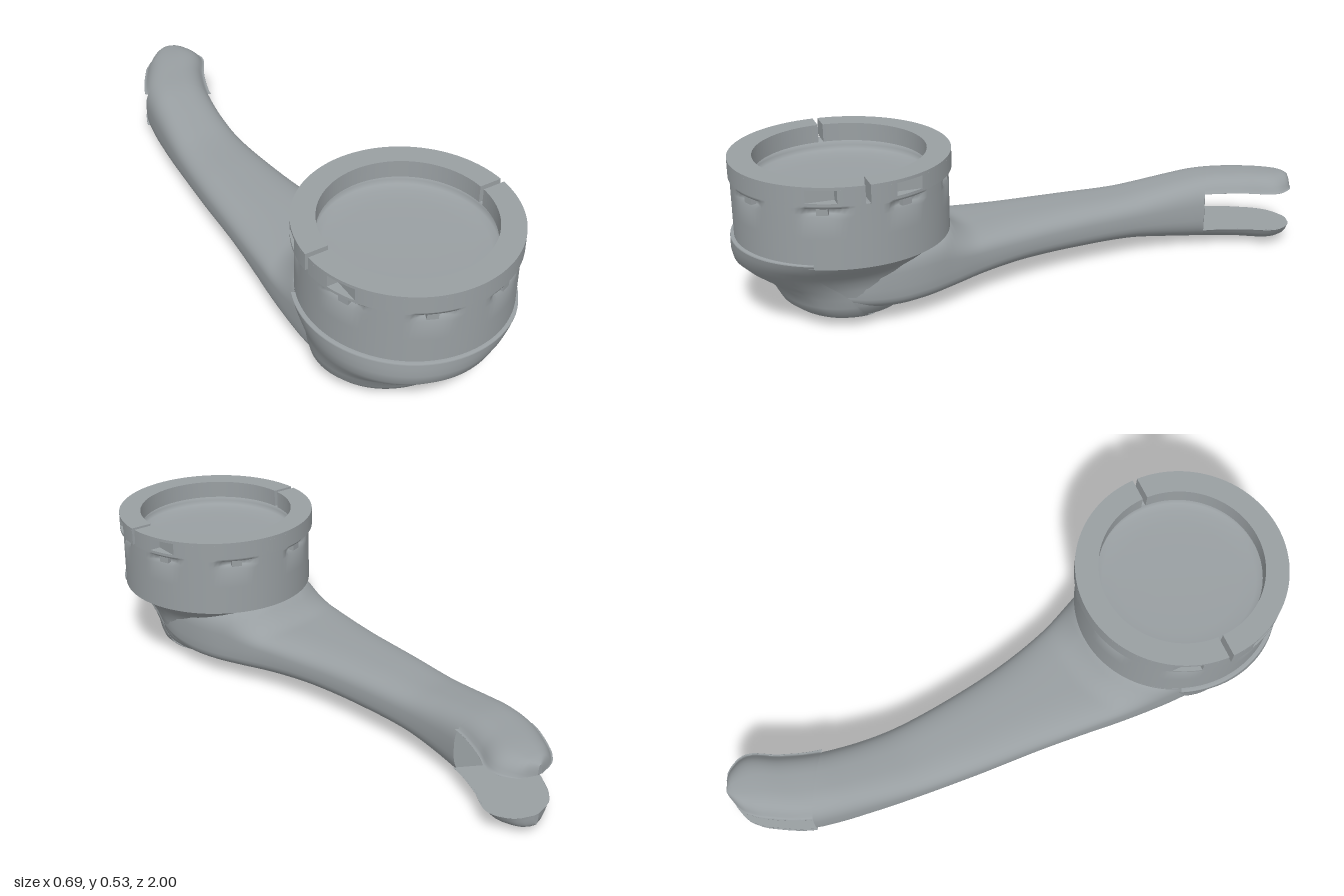
import * as THREE from 'three';

const CUP_Z = 0.642;

// Skin a list of point rows into a smooth surface; caps get their own vertices
function skin(rows, { closed = true, caps = false } = {}) {
  const n = rows[0].length, pos = [], idx = [];
  rows.forEach(r => r.forEach(p => pos.push(...p)));
  for (let i = 0; i < rows.length - 1; i++) {
    for (let j = 0; j < (closed ? n : n - 1); j++) {
      const k = (j + 1) % n;
      const a = i * n + j, b = i * n + k, c = a + n, d = b + n;
      idx.push(a, b, c, b, d, c);
    }
  }
  if (caps) {
    [rows[0], rows[rows.length - 1]].forEach((row, end) => {
      const base = pos.length / 3;
      const mid = [0, 1, 2].map(k => row.reduce((s, p) => s + p[k], 0) / n);
      row.forEach(p => pos.push(...p));
      pos.push(...mid);
      for (let j = 0; j < n; j++) {
        const k = (j + 1) % n;
        if (end) idx.push(base + j, base + k, base + n);
        else idx.push(base + k, base + j, base + n);
      }
    });
  }
  const g = new THREE.BufferGeometry();
  g.setAttribute('position', new THREE.Float32BufferAttribute(pos, 3));
  g.setIndex(idx);
  g.computeVertexNormals();
  return g;
}

// Smooth lookup in a table whose first column is the ascending key
function curveTable(table) {
  const it = new THREE.CubicInterpolant(
    table.map(r => r[0]), table.flatMap(r => r.slice(1)), table[0].length - 1,
    new Float32Array(table[0].length - 1));
  return t => Array.from(it.evaluate(t));
}

// Arm outline: z, left x, right x, top y, bottom y
const armAt = curveTable([
  [-1, -0.01, 0.01, 0.235, 0.03], [-0.985, -0.06, 0.055, 0.245, 0.02],
  [-0.95, -0.105, 0.09, 0.252, 0.014], [-0.9, -0.14, 0.105, 0.256, 0.012],
  [-0.8, -0.19, 0.06, 0.254, 0.014], [-0.7, -0.212, 0.025, 0.25, 0.018],
  [-0.6, -0.225, 0.008, 0.236, 0.025], [-0.5, -0.236, 0, 0.22, 0.036],
  [-0.4, -0.245, 0, 0.207, 0.047], [-0.2, -0.258, 0.02, 0.204, 0.052],
  [0, -0.266, 0.055, 0.204, 0.053], [0.2, -0.278, 0.112, 0.204, 0.05],
  [0.31, -0.286, 0.157, 0.206, 0.046], [0.42, -0.291, 0.199, 0.208, 0.04],
  [0.53, -0.292, 0.22, 0.208, 0.038], [0.65, -0.285, 0.222, 0.208, 0.055],
  [0.75, -0.24, 0.188, 0.208, 0.085], [0.82, -0.15, 0.1, 0.208, 0.11],
]);

// One arm cross-section: slanted near the slot, boxier and filleted near the cup
function armSection(z0, lo = -9, hi = 9) {
  const slant = 0.06 * THREE.MathUtils.smoothstep(-z0, 0.45, 0.72)
    * (1 - THREE.MathUtils.smoothstep(-z0, 0.75, 0.97));
  const power = 0.7 - 0.18 * THREE.MathUtils.smoothstep(z0, 0, 0.35);
  const row = [];
  for (let j = 0; j < 48; j++) {
    const a = j / 48 * Math.PI * 2, c = Math.cos(a), s = Math.sin(a);
    const u = Math.sign(c) * Math.abs(c) ** power, v = Math.sign(s) * Math.abs(s) ** power;
    const z = Math.max(-1, z0 + slant * u);
    const [l, r, t, b] = armAt(z);
    const x = (l + r) / 2 + u * (r - l) / 2;
    const away = THREE.MathUtils.clamp((Math.hypot(x, z - CUP_Z) - 0.335) / 0.11, 0, 1);
    const y = (t + b) / 2 + v * (t - b) / 2 + 0.062 * Math.max(0, v) * (1 - away) ** 2;
    row.push([x, Math.min(hi, Math.max(lo, y)), z]);
  }
  return row;
}

function armLoft(from, to, steps, lo, hi) {
  const rows = [];
  for (let i = 0; i <= steps; i++) rows.push(armSection(from + (to - from) * i / steps, lo, hi));
  return skin(rows, { caps: true });
}

// Bowl outline: y, left x, right x, back z, front z
const bowlAt = curveTable([
  [0, -0.04, 0.02, 0.6, 0.64], [0.006, -0.12, 0.09, 0.52, 0.7],
  [0.02, -0.19, 0.15, 0.47, 0.77], [0.045, -0.25, 0.195, 0.44, 0.825],
  [0.08, -0.287, 0.214, 0.42, 0.85], [0.12, -0.295, 0.222, 0.4, 0.872],
  [0.16, -0.305, 0.23, 0.38, 0.932], [0.2, -0.32, 0.255, 0.36, 0.975],
  [0.24, -0.33, 0.305, 0.33, 0.983], [0.272, -0.334, 0.332, 0.3, 0.984],
]);

function bowlPoint(y, angle, grow) {
  const [l, r, b, f] = bowlAt(y);
  return [(l + r) / 2 + Math.cos(angle) * ((r - l) / 2 + grow), y,
    (b + f) / 2 + Math.sin(angle) * ((f - b) / 2 + grow)];
}

// Half collar outline; the notched one leaves screw pockets near both ends
function collarShape(notched) {
  const outer = 0.346, inner = 0.27, gap = 0.008;
  const ao = Math.asin(gap / outer), ai = Math.asin(gap / inner);
  const shape = new THREE.Shape();
  if (notched) {
    const x = 0.297, y = 0.09;
    const low = Math.asin(y / outer), high = Math.acos(x / outer);
    shape.absarc(0, 0, outer, ao, low, false);
    shape.lineTo(x, y);
    shape.absarc(0, 0, outer, high, Math.PI - high, false);
    shape.lineTo(-x, y);
    shape.absarc(0, 0, outer, Math.PI - low, Math.PI - ao, false);
  } else {
    shape.absarc(0, 0, outer, ao, Math.PI - ao, false);
  }
  shape.absarc(0, 0, inner, Math.PI - ai, ai, true);
  shape.closePath();
  return shape;
}

export function createModel() {
  const group = new THREE.Group();
  const metal = new THREE.MeshStandardMaterial({ color: 0x999fa2, side: THREE.DoubleSide });
  metal.name = 'grey metal';
  const add = (name, geometry, parent = group) => {
    const m = new THREE.Mesh(geometry, metal);
    m.name = name;
    parent.add(m);
    return m;
  };

  // Arm with a forked end
  add('arm', armLoft(0.82, -0.72, 90));
  add('upperProng', armLoft(-0.72, -1, 24, 0.203, 9));
  add('lowerProng', armLoft(-0.72, -1, 24, -9, 0.066));

  // Bowl under the cup
  const levels = [0.002, 0.006, 0.012, 0.02, 0.035, 0.055, 0.08, 0.11, 0.14, 0.17, 0.2, 0.23, 0.255, 0.272];
  add('bowl', skin(levels.map(y => Array.from({ length: 56 },
    (_, j) => bowlPoint(y, j / 56 * Math.PI * 2, 0))), { caps: true }));

  // Shell wrapped round the front of the bowl, wider towards the bottom
  const shellRow = (y, grow, rise = 0) => {
    const t = y / 0.272;
    const start = THREE.MathUtils.degToRad(-35 + 63 * t ** 0.35);
    const end = THREE.MathUtils.degToRad(212 - 10 * t);
    return Array.from({ length: 49 }, (_, j) => {
      const p = bowlPoint(y, start + (end - start) * j / 48, grow * Math.min(1, j / 12 + 0.4));
      p[1] += rise;
      return p;
    });
  };
  add('frontShell', skin(levels.map(y => shellRow(y, 0.013, -0.002 * (1 - y / 0.272))), { closed: false }));
  add('shellLip', skin([shellRow(0.272, 0.013), shellRow(0.272, 0.012, 0.005), shellRow(0.272, -0.005, 0.005)],
    { closed: false }));

  // Cup, slightly longer than wide and chipped below its upper edge
  const cup = new THREE.Group();
  cup.name = 'cup';
  cup.position.z = CUP_Z;
  cup.scale.z = 1.03;
  group.add(cup);
  const wall = [[0.262, 0], [0.36, 0], [0.425, 0], [0.437, 1], [0.456, 1], [0.458, 0], [0.466, 0]];
  add('cupWall', skin(wall.map(([y, dip]) => Array.from({ length: 128 }, (_, j) => {
    const a = j / 128 * Math.PI * 2;
    const chip = Math.max(0, -Math.cos(8 * a) + 0.15 * Math.sin(5 * a)) ** 0.6;
    const r = 0.333 - dip * 0.022 * chip;
    const dy = y === 0.425 ? -0.008 * Math.sin(8 * a + 1) * chip : 0;
    return [Math.cos(a) * r, y + dy, Math.sin(a) * r];
  }))), cup);

  // Small tabs below the collar
  for (let i = 0; i < 8; i++) {
    const a = (i + 0.5) * Math.PI / 4;
    const tab = add('tab', new THREE.BoxGeometry(0.034, 0.026, 0.03), cup);
    tab.position.set(Math.cos(a) * 0.316, 0.449, Math.sin(a) * 0.316);
    tab.rotation.y = Math.PI / 2 - a;
  }

  // Rim and shallow rounded dish inside the cup
  const dish = [[0.333, 0.466], [0.282, 0.466], [0.28, 0.45], [0.272, 0.438], [0.25, 0.431],
    [0.2, 0.427], [0.1, 0.425], [0, 0.425]].map(p => new THREE.Vector2(...p));
  add('dish', new THREE.LatheGeometry(dish, 64), cup);

  // Split clamp collar in two halves, each in three layers
  const layers = [[0.529, 0.01, false], [0.519, 0.041, true], [0.478, 0.009, false]];
  for (const side of [1, -1]) {
    const half = new THREE.Group();
    half.name = side > 0 ? 'frontCollar' : 'backCollar';
    half.position.z = CUP_Z - 0.002;
    half.scale.z = 1.012;
    half.rotation.y = side > 0 ? 0 : Math.PI;
    for (const [top, depth, notched] of layers) {
      const layer = add('collarLayer', new THREE.ExtrudeGeometry(collarShape(notched),
        { depth, curveSegments: 40, bevelEnabled: false }), half);
      layer.rotation.x = Math.PI / 2;
      layer.position.y = top;
    }
    group.add(half);
  }
  return group;
}
